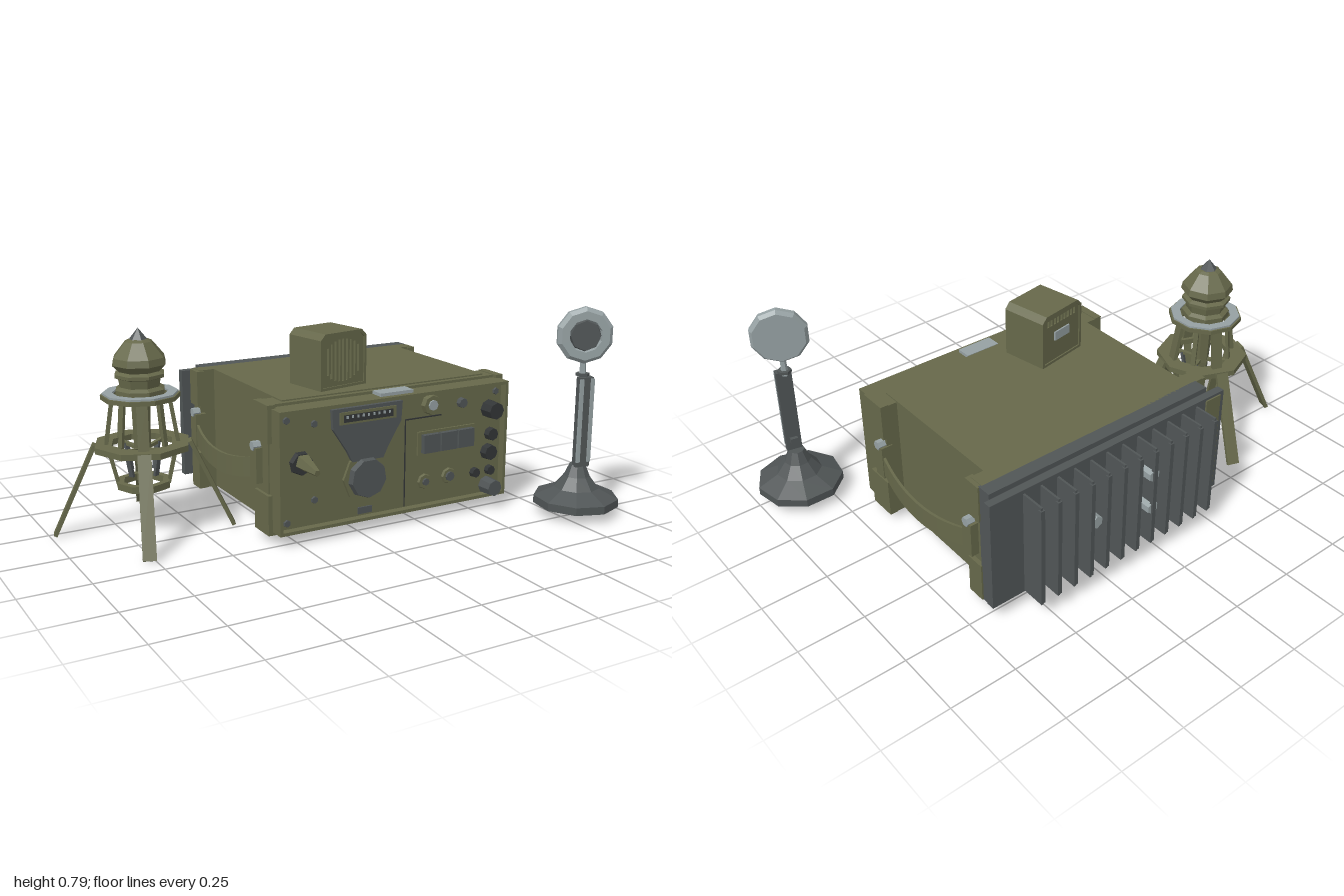
import * as THREE from 'three';

const paint = (name, color) => {
  const m = new THREE.MeshStandardMaterial({ color });
  m.name = name;
  return m;
};

export function createModel() {
  const olive = paint('olive drab', 0x66684a);
  const dark = paint('dark grey', 0x505556);
  const black = paint('charcoal', 0x323536);
  const light = paint('pale steel', 0x95a0a2);
  const root = new THREE.Group();

  // Faceted mesh helper
  const add = (parent, name, geo, mat, x = 0, y = 0, z = 0) => {
    const g = geo.index ? geo.toNonIndexed() : geo;
    g.computeVertexNormals();
    const m = new THREE.Mesh(g, mat);
    m.name = name;
    m.position.set(x, y, z);
    parent.add(m);
    return m;
  };
  const group = (name, x = 0, y = 0, z = 0) => {
    const g = new THREE.Group();
    g.name = name;
    g.position.set(x, y, z);
    root.add(g);
    return g;
  };
  // Box given by its limits
  const span = (p, name, mat, x0, x1, y0, y1, z0, z1) =>
    add(p, name, new THREE.BoxGeometry(x1 - x0, y1 - y0, z1 - z0), mat, (x0 + x1) / 2, (y0 + y1) / 2, (z0 + z1) / 2);
  const lathe = (pts, n) => new THREE.LatheGeometry(pts.map(p => new THREE.Vector2(...p)), n);
  const ring = (ri, ro, h, n) => lathe([[ri, 0], [ro, 0], [ro, h], [ri, h], [ri, 0]], n);
  const poly = (pts, holes = []) => {
    const s = new THREE.Shape(pts.map(p => new THREE.Vector2(...p)));
    holes.forEach(h => s.holes.push(new THREE.Path(h.map(p => new THREE.Vector2(...p)))));
    return s;
  };
  const rect = (x0, x1, y0, y1) => [[x0, y0], [x1, y0], [x1, y1], [x0, y1]];
  const plate = (shape, depth) => new THREE.ExtrudeGeometry(shape, { depth, bevelEnabled: false });
  // Round control facing forward, its back on the panel
  const dial = (p, name, mat, x, y, z, r, d, n = 8, taper = 0.9) =>
    add(p, name, new THREE.CylinderGeometry(r * taper, r, d, n).rotateX(Math.PI / 2), mat, x, y, z + d / 2);

  // Cabinet with front and rear collars
  const radio = group('radioSet');
  span(radio, 'cabinet', olive, -0.27, 0.6, 0.03, 0.51, -0.44, 0.18);
  span(radio, 'frontCollar', olive, -0.335, 0.655, 0.035, 0.505, 0.11, 0.2);
  span(radio, 'rearCollar', olive, -0.33, 0.65, 0.03, 0.51, -0.46, -0.4);
  add(radio, 'frontRim', plate(poly(rect(-0.33, 0.65, 0.045, 0.495), [rect(-0.318, 0.638, 0.057, 0.483)]), 0.08), olive, 0, 0, 0.2);
  span(radio, 'controlPanel', olive, -0.32, 0.64, 0.055, 0.485, 0.2, 0.25);
  span(radio, 'topLabel', light, 0.09, 0.23, 0.495, 0.507, 0.2, 0.258);

  // Corner pads, strap brackets and sagging carry straps on both sides
  for (const s of [-1, 1]) {
    const side = d => 0.16 + s * (0.495 + d);
    const pad = (name, mat, d0, d1, ...r) => span(radio, name, mat, Math.min(side(d0), side(d1)), Math.max(side(d0), side(d1)), ...r);
    for (const [z0, z1] of [[0.11, 0.22], [-0.46, -0.39]]) {
      pad('upperCornerPad', olive, -0.02, 0.011, 0.37, 0.508, z0, z1);
      pad('lowerCornerPad', olive, -0.02, 0.011, 0.032, 0.18, z0, z1);
    }
    for (const z of [0.13, -0.405]) {
      pad('strapBracket', olive, -0.02, 0.025, 0.21, 0.34, z - 0.025, z + 0.025);
      const pin = add(radio, 'strapPin', new THREE.CylinderGeometry(0.018, 0.018, 0.03, 6), light, side(0.015), 0.345, z);
      pin.rotation.z = Math.PI / 2;
    }
    const strap = new THREE.BoxGeometry(0.01, 0.075, 0.56, 1, 1, 14);
    const a = strap.attributes.position;
    for (let i = 0; i < a.count; i++) {
      const k = 1 - (a.getZ(i) / 0.28) ** 2;
      a.setX(i, a.getX(i) + s * 0.035 * k);
      a.setY(i, a.getY(i) - 0.045 * k);
    }
    add(radio, 'carryStrap', strap, olive, side(0.008), 0.272, -0.138);
  }

  // Finned heat sink on the back
  span(radio, 'rearGasket', dark, -0.3, 0.66, 0.03, 0.51, -0.51, -0.455);
  span(radio, 'rearPlate', dark, -0.36, 0.68, 0.06, 0.49, -0.54, -0.51);
  span(radio, 'rearSidePanel', olive, -0.34, -0.27, 0.07, 0.48, -0.546, -0.54);
  for (let i = 0; i < 12; i++) {
    const x = -0.225 + i * 0.07;
    span(radio, 'coolingFin', dark, x - 0.004, x + 0.004, 0.065, 0.475, -0.632, -0.54);
    span(radio, 'finBead', dark, x - 0.008, x + 0.008, 0.075, 0.465, -0.637, -0.622);
  }
  for (const [x, y] of [[0.31, 0.29], [0.055, 0.36], [0.055, 0.22]])
    add(radio, 'finBolt', new THREE.CylinderGeometry(0.024, 0.024, 0.08, 6).rotateX(Math.PI / 2), light, x, y, -0.59);

  // Display and tuning dial
  const Z = 0.25;
  add(radio, 'displayBezel', plate(poly([[-0.11, 0.4], [-0.05, 0.31], [-0.03, 0.27], [0.1, 0.27], [0.12, 0.31], [0.175, 0.4], [0.18, 0.473], [-0.115, 0.473]]), 0.015), dark, 0, 0, Z);
  span(radio, 'displayFrame', olive, -0.085, 0.15, 0.415, 0.46, Z, Z + 0.02);
  span(radio, 'displayWindow', black, -0.07, 0.135, 0.423, 0.45, Z + 0.015, Z + 0.022);
  for (let i = 0; i < 9; i++)
    span(radio, 'scaleMark', light, -0.06 + i * 0.022, -0.053 + i * 0.022, 0.437, 0.447, Z + 0.02, Z + 0.025);
  dial(radio, 'tuningCollar', olive, 0.03, 0.205, Z, 0.095, 0.012, 8, 1);
  dial(radio, 'tuningKnob', dark, 0.03, 0.205, Z, 0.08, 0.035, 9);
  span(radio, 'panelLabel', dark, 0.0, 0.06, 0.065, 0.09, Z, Z + 0.006);

  // Lever on the left of the panel
  dial(radio, 'leverSeat', black, -0.235, 0.295, Z, 0.045, 0.02, 7);
  const lever = add(radio, 'lever', new THREE.CylinderGeometry(0.012, 0.035, 0.12, 5).rotateX(Math.PI / 2), olive, -0.233, 0.297, 0.312);
  lever.rotation.x = 0.12;

  // Push buttons and sockets
  span(radio, 'buttonPlate', olive, 0.255, 0.515, 0.25, 0.34, Z, Z + 0.008);
  for (let i = 0; i < 3; i++)
    span(radio, 'pushButton', dark, 0.27 + i * 0.078, 0.342 + i * 0.078, 0.26, 0.33, Z, Z + 0.028);
  span(radio, 'panelSeam', black, 0.2, 0.36, 0.391, 0.396, Z, Z + 0.003);
  span(radio, 'panelSeam', black, 0.2, 0.204, 0.06, 0.396, Z, Z + 0.003);
  const controls = [[0.31, 0.44, 0.04, olive, 0.02], [0.31, 0.44, 0.022, light, 0.026], [0.45, 0.43, 0.02, dark, 0.02],
    [0.58, 0.39, 0.036, black, 0.055], [0.59, 0.29, 0.026, black, 0.025], [0.58, 0.22, 0.032, black, 0.03],
    [0.29, 0.145, 0.03, olive, 0.01], [0.29, 0.145, 0.015, dark, 0.018], [0.4, 0.15, 0.032, olive, 0.01],
    [0.4, 0.15, 0.02, dark, 0.018], [0.52, 0.145, 0.02, black, 0.02], [0.59, 0.145, 0.02, black, 0.02],
    [0.58, 0.085, 0.035, dark, 0.06]];
  for (const [x, y, r, m, d] of controls) dial(radio, 'panelControl', m, x, y, Z, r, d);
  for (const [x, y] of [[-0.18, 0.43], [-0.18, 0.15], [-0.29, 0.455], [-0.29, 0.08], [0.61, 0.455]])
    dial(radio, 'panelScrew', dark, x, y, Z, 0.014, 0.008, 6);

  // Speaker box with slotted grille, turned slightly
  const speaker = group('speaker', -0.01, 0.515, 0.05);
  speaker.rotation.y = 0.18;
  const outline = (w, h0, h1, c) => [[-w, h0], [w, h0], [w, h1 - c], [w - c, h1], [c - w, h1], [-w, h1 - c]];
  const front = [], back = [];
  for (let i = -4; i <= 4; i++) {
    const x = i * 0.018, h = Math.sqrt(1 - (i / 5.2) ** 2) * 0.078;
    front.push(rect(x - 0.0045, x + 0.0045, 0.102 - h, 0.102 + h));
    back.push(rect(x - 0.006, x + 0.006, 0.155, 0.18));
  }
  add(speaker, 'speakerShell', plate(poly(outline(0.108, 0, 0.206, 0.022), [outline(0.098, 0.01, 0.196, 0.018)]), 0.18), olive, 0, 0, -0.09);
  add(speaker, 'speakerGrille', plate(poly(outline(0.1, 0.005, 0.2, 0.02), front), 0.01), olive, 0, 0, 0.075);
  add(speaker, 'speakerBack', plate(poly(outline(0.1, 0.005, 0.2, 0.02), back), 0.01), olive, 0, 0, -0.085);
  span(speaker, 'speakerLabel', light, -0.04, 0.04, 0.09, 0.125, -0.091, -0.084);

  // Lantern tower on four splayed legs
  const tower = group('lanternTower', -0.67, 0, -0.14);
  add(tower, 'platform', ring(0.115, 0.178, 0.022, 8), olive, 0, 0.315, 0);
  add(tower, 'upperRing', ring(0.105, 0.142, 0.016, 10), olive, 0, 0.5, 0);
  add(tower, 'upperRingTrim', ring(0.1, 0.135, 0.007, 10), light, 0, 0.516, 0);
  add(tower, 'lowerRing', ring(0.075, 0.1, 0.025, 8), olive, 0, 0.17, 0);
  add(tower, 'core', lathe([[0, 0.13], [0.015, 0.16], [0.02, 0.22], [0.03, 0.3], [0.035, 0.51], [0, 0.51]], 6), olive);
  add(tower, 'cap', lathe([[0, 0.515], [0.092, 0.515], [0.092, 0.535], [0.075, 0.545], [0.08, 0.575], [0.093, 0.58], [0.093, 0.592],
    [0.075, 0.6], [0.1, 0.625], [0.095, 0.65], [0.05, 0.705], [0.035, 0.712], [0, 0.715]], 8), olive);
  add(tower, 'capTip', new THREE.ConeGeometry(0.036, 0.045, 6), dark, 0, 0.73, 0);
  const beam = (p, name, mat, r0, y0, r1, y1, w, t) => {
    const b = add(p, name, new THREE.BoxGeometry(t, Math.hypot(r1 - r0, y1 - y0), w), mat, (r0 + r1) / 2, (y0 + y1) / 2, 0);
    b.rotation.z = Math.atan2(r0 - r1, y1 - y0);
  };
  for (let i = 0; i < 8; i++) {
    const arm = new THREE.Group();
    arm.name = 'towerSpoke';
    arm.rotation.y = -0.32 + i * Math.PI / 4;
    tower.add(arm);
    if (i % 2 === 0) {
      beam(arm, 'leg', olive, 0.323, 0.004, 0.17, 0.335, 0.048, 0.014);
      beam(arm, 'post', olive, 0.13, 0.32, 0.1, 0.51, 0.04, 0.014);
      beam(arm, 'lowerBrace', olive, 0.09, 0.18, 0.125, 0.33, 0.03, 0.012);
    } else {
      beam(arm, 'thinPost', olive, 0.11, 0.33, 0.09, 0.51, 0.018, 0.012);
      beam(arm, 'hangingVane', dark, 0.06, 0.22, 0.08, 0.32, 0.02, 0.01);
      beam(arm, 'vaneStay', olive, 0.02, 0.31, 0.125, 0.325, 0.015, 0.012);
    }
  }

  // Desk microphone
  const mic = group('microphone', 0.83, 0, 0.485);
  add(mic, 'base', lathe([[0, 0.04], [0.16, 0.04], [0.16, 0.07], [0.085, 0.105], [0.05, 0.15], [0.03, 0.195], [0, 0.195]], 9), dark);
  const stem = new THREE.Group();
  stem.name = 'stem';
  stem.rotation.y = -0.2;
  stem.position.z = 0.018;
  mic.add(stem);
  span(stem, 'stemBar', dark, -0.028, 0.028, 0.19, 0.535, -0.015, 0.013);
  for (const s of [-1, 1]) span(stem, 'stemRail', light, s * 0.022 - 0.007, s * 0.022 + 0.007, 0.21, 0.53, 0.01, 0.019);
  span(stem, 'stemSwitch', dark, -0.014, 0.014, 0.23, 0.25, -0.03, -0.01);
  add(mic, 'neck', new THREE.CylinderGeometry(0.01, 0.014, 0.07, 6), light, 0, 0.56, 0);
  add(mic, 'neckCollar', new THREE.CylinderGeometry(0.026, 0.026, 0.01, 6), dark, 0, 0.542, 0);
  const head = new THREE.Group();
  head.name = 'microphoneHead';
  head.position.set(0, 0.69, 0);
  head.rotation.y = -0.5;
  mic.add(head);
  add(head, 'headShell', lathe([[0, -0.022], [0.095, -0.022], [0.106, -0.008], [0.106, 0.01], [0.092, 0.024], [0.062, 0.024], [0.058, 0.008], [0, 0.008]], 10).rotateX(Math.PI / 2), light);
  dial(head, 'headGrille', dark, 0, 0, 0.005, 0.062, 0.016, 8);
  return root;
}
